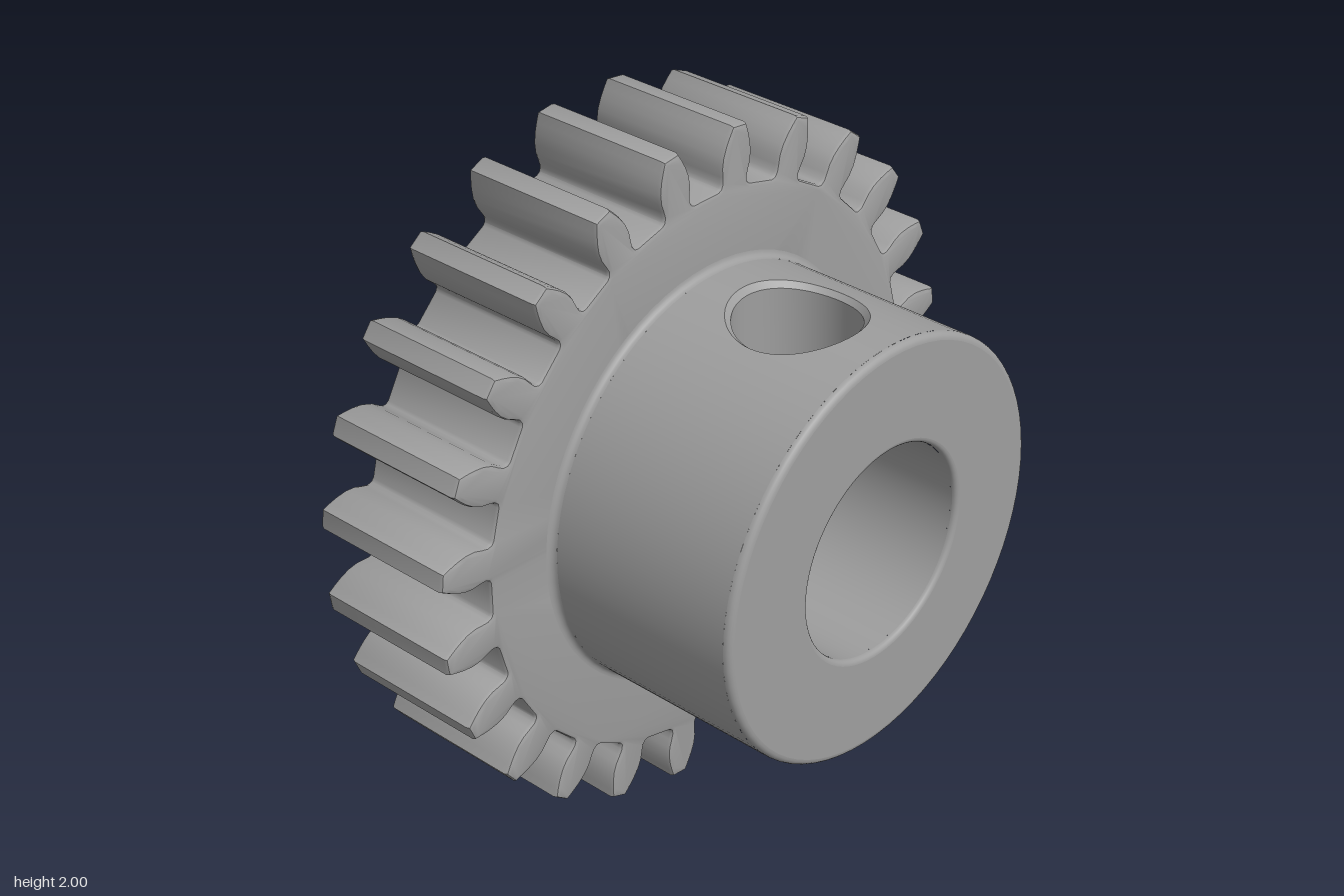
import * as THREE from 'three';
import { toCreasedNormals } from 'three/addons/utils/BufferGeometryUtils.js';

const TEETH = 24, HUB_R = 0.615, BORE_R = 0.31;
const WALL_BACK = -0.06, WALL_FRONT = 0.52;          // straight part of the hub wall
const HOLE_Z = 0.23, HOLE_R = 0.172, HOLE_MOUTH = 0.188;
const HUB_ANGLE = 0.5, BORE_ANGLE = 0.95;            // half sectors left open for the screw hole

export function createModel() {
  const group = new THREE.Group();
  const steel = new THREE.MeshStandardMaterial({ color: 0x9e9e9e });
  steel.name = 'steel';

  const add = (name, geometry) => {
    const mesh = new THREE.Mesh(geometry, steel);
    mesh.name = name;
    group.add(mesh);
  };

  // Revolved surface around z; `gap` leaves a sector open at the top
  const turned = (name, points, gap = 0) => {
    const profile = points.map(([r, z]) => new THREE.Vector2(r, z));
    const g = new THREE.LatheGeometry(profile, 72, Math.PI + gap, 2 * Math.PI - 2 * gap);
    add(name, g.rotateX(Math.PI / 2));
  };

  // Quarter-round profile about (cr, cz)
  const arc = (cr, cz, radius, from, to) =>
    Array.from({ length: 6 }, (_, i) => {
      const a = from + (to - from) * i / 5;
      return [cr + radius * Math.cos(a), cz + radius * Math.sin(a)];
    });

  // Surface made of closed rings of points
  const rings = (rows, point, flip) => {
    const cols = 64, pos = [], index = [];
    for (let i = 0; i <= rows; i++) {
      for (let j = 0; j < cols; j++) pos.push(...point(i, 2 * Math.PI * j / cols));
    }
    for (let i = 0; i < rows; i++) {
      for (let j = 0; j < cols; j++) {
        const k = (j + 1) % cols;
        const a = i * cols + j, b = a + cols, c = (i + 1) * cols + k, d = i * cols + k;
        index.push(...(flip ? [a, c, b, a, d, c] : [a, b, c, a, c, d]));
      }
    }
    const g = new THREE.BufferGeometry();
    g.setAttribute('position', new THREE.Float32BufferAttribute(pos, 3));
    g.setIndex(index);
    g.computeVertexNormals();
    return g;
  };

  // Cylinder sector pierced by the round screw hole
  const piercedSector = (name, R, holeR, halfAngle, outward) => {
    const rows = 8, halfZ = (WALL_FRONT - WALL_BACK) / 2;
    const g = rings(rows, (i, t) => {
      const c = Math.cos(t), s = Math.sin(t), m = Math.max(Math.abs(c), Math.abs(s)), f = i / rows;
      const a = THREE.MathUtils.lerp(Math.asin(holeR * c / R), halfAngle * c / m, f);
      const z = THREE.MathUtils.lerp(holeR * s, halfZ * s / m, f);
      return [R * Math.sin(a), R * Math.cos(a), HOLE_Z + z];
    }, outward);
    const p = g.attributes.position, k = (outward ? 1 : -1) / R;
    for (let i = 0; i < p.count; i++) g.attributes.normal.setXYZ(i, p.getX(i) * k, p.getY(i) * k, 0);
    add(name, g);
  };

  // Toothed wheel: [radius, half width] of one tooth flank from root to tip
  const flank = [
    [0.833, 0.063], [0.838, 0.054], [0.85, 0.05], [0.87, 0.053], [0.895, 0.058],
    [0.925, 0.057], [0.955, 0.049], [0.98, 0.039], [1.005, 0.027],
  ];
  const outline = [];
  for (let n = 0; n < TEETH; n++) {
    const mid = (n + 0.5) * 2 * Math.PI / TEETH;
    const at = (r, a) => outline.push(new THREE.Vector2(r * Math.cos(a), r * Math.sin(a)));
    flank.forEach(([r, w]) => at(r, mid - w / r));
    [...flank].reverse().forEach(([r, w]) => at(r, mid + w / r));
  }
  const shape = new THREE.Shape(outline);
  shape.holes.push(new THREE.Path().absarc(0, 0, BORE_R, 0, 2 * Math.PI, true));
  const bevel = 0.013;
  const wheel = new THREE.ExtrudeGeometry(shape, {
    depth: 0.46 - 2 * bevel, curveSegments: 36,
    bevelSize: bevel, bevelThickness: bevel, bevelOffset: -bevel, bevelSegments: 2,
  });
  wheel.translate(0, 0, -0.54 + bevel);
  add('toothedWheel', toCreasedNormals(wheel, 0.7));

  // Hub outside: base fillet, wall, rounded front edge, front face
  turned('hubBaseFillet', arc(0.635, -0.06, 0.02, 1.5 * Math.PI, Math.PI));
  turned('hubWall', [[HUB_R, WALL_BACK], [HUB_R, WALL_FRONT]], HUB_ANGLE);
  piercedSector('hubWallTop', HUB_R, HOLE_MOUTH, HUB_ANGLE, true);
  turned('hubFrontEdge', arc(0.595, 0.52, 0.02, 0, Math.PI / 2));
  turned('hubFrontFace', [[0.595, 0.54], [0.325, 0.54]]);

  // Bore through the hub
  turned('boreFrontLip', arc(0.325, 0.525, 0.015, Math.PI / 2, Math.PI));
  turned('boreFront', [[BORE_R, 0.525], [BORE_R, WALL_FRONT]]);
  turned('boreWall', [[BORE_R, WALL_FRONT], [BORE_R, WALL_BACK]], BORE_ANGLE);
  piercedSector('boreWallTop', BORE_R, HOLE_R, BORE_ANGLE, false);
  turned('boreJoint', [[BORE_R, WALL_BACK], [BORE_R, -0.1]]);

  // Screw hole: chamfered mouth and straight shaft down to the bore
  const ringPoint = (r, R, drop) => (t) => {
    const x = r * Math.cos(t);
    return [x, Math.sqrt(R * R - x * x) - drop, HOLE_Z + r * Math.sin(t)];
  };
  const mouth = ringPoint(HOLE_MOUTH, HUB_R, 0);
  const neck = ringPoint(HOLE_R, HUB_R, 0.018);
  const foot = ringPoint(HOLE_R, BORE_R, 0);
  add('screwHoleChamfer', rings(1, (i, t) => (i ? neck : mouth)(t), false));
  add('screwHoleShaft', rings(1, (i, t) => (i ? foot : neck)(t), false));

  group.children.forEach((mesh) => { mesh.position.y = 1; });
  return group;
}
